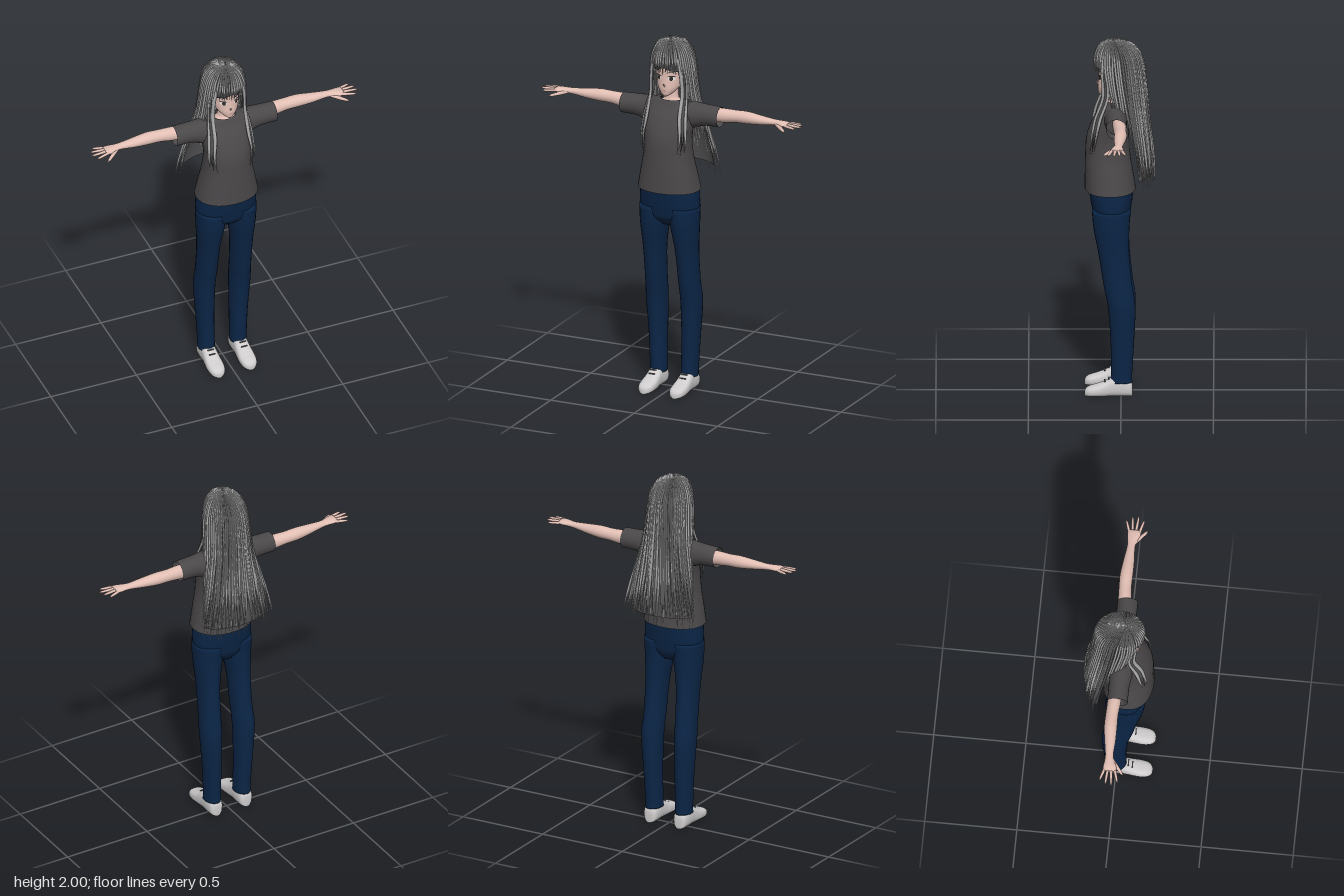
import * as THREE from 'three';

const V = (x, y, z) => new THREE.Vector3(x, y, z);
const RAD = Math.PI / 180;

// Smooth interpolation of a table of rows at fractional index s
function rowAt(T, s) {
  const n = T.length - 1, i = Math.min(Math.floor(s), n - 1), f = s - i;
  const r = k => T[Math.min(Math.max(k, 0), n)];
  const [a, b, c, d] = [r(i - 1), r(i), r(i + 1), r(i + 2)];
  return b.map((_, k) => b[k] + 0.5 * f * (c[k] - a[k] + f * (2 * a[k] - 5 * b[k] + 4 * c[k] - d[k]
    + f * (3 * (b[k] - c[k]) + d[k] - a[k]))));
}
const refine = (T, sub) => Array.from({ length: (T.length - 1) * sub + 1 }, (_, i) => rowAt(T, i / sub));

// Skin over rings { c, u, v }: centre and two half axes; e is the superellipse exponent
function loft(rings, { n = 24, e = 2, start = true, end = true } = {}) {
  const pos = [], idx = [], m = rings.length;
  const axis = rings[m - 1].c.clone().sub(rings[0].c);
  const mid = rings[m >> 1];
  const flip = mid.u.clone().cross(mid.v).dot(axis) < 0 ? -1 : 1;
  const pw = t => Math.sign(t) * Math.abs(t) ** (2 / e);
  for (const { c, u, v } of rings) for (let j = 0; j < n; j++) {
    const a = j / n * Math.PI * 2;
    const p = c.clone().addScaledVector(u, pw(Math.cos(a))).addScaledVector(v, flip * pw(Math.sin(a)));
    pos.push(p.x, p.y, p.z);
  }
  for (let i = 0; i < m - 1; i++) for (let j = 0; j < n; j++) {
    const k = (j + 1) % n, a = i * n + j, b = i * n + k;
    idx.push(a, b, a + n, b, b + n, a + n);
  }
  const c0 = rings[0].c, c1 = rings[m - 1].c, o = m * n, l = o - n;
  pos.push(c0.x, c0.y, c0.z, c1.x, c1.y, c1.z);
  for (let j = 0; j < n; j++) {
    const k = (j + 1) % n;
    if (start) idx.push(o, k, j);
    if (end) idx.push(o + 1, l + j, l + k);
  }
  const g = new THREE.BufferGeometry();
  g.setAttribute('position', new THREE.Float32BufferAttribute(pos, 3));
  g.setIndex(idx);
  g.computeVertexNormals();
  return g;
}

// Upright form from rows [y, centreX, halfWidth, zFront, zBack]
const upright = (T, opt) => loft(refine(T, 4).map(([y, x, w, f, b]) =>
  ({ c: V(x, y, (f + b) / 2), u: V(w, 0, 0), v: V(0, 0, (f - b) / 2) })), opt);

// Hair outline [y, halfWidth, zFront, zBack] from crown to tips
const HAIR = [[2, .004, .05, .04], [1.992, .045, .09, -.02], [1.965, .08, .122, -.07], [1.92, .103, .14, -.106],
  [1.86, .114, .143, -.122], [1.78, .12, .133, -.13], [1.67, .128, .11, -.14], [1.55, .15, .075, -.15],
  [1.42, .178, .045, -.165], [1.3, .202, .025, -.175], [1.18, .215, .015, -.178]];
function hairPoint(a, s, k = 1) {
  const [y, w, f, b] = rowAt(HAIR, s);
  return V(w * k * Math.sin(a), y, (f + b) / 2 + (f - b) / 2 * k * Math.cos(a));
}

const HEAD = [[1.692, 0, .012, .117, .085], [1.705, 0, .032, .123, .05], [1.735, 0, .058, .126, .005],
  [1.77, 0, .075, .124, -.06], [1.81, 0, .084, .121, -.09], [1.86, 0, .088, .122, -.1],
  [1.91, 0, .082, .11, -.085], [1.95, 0, .055, .08, -.05], [1.965, 0, .02, .045, -.01]];
const HEAD_FINE = refine(HEAD, 8);
function faceZ(x, y) {
  const r = HEAD_FINE.reduce((p, q) => Math.abs(q[0] - y) < Math.abs(p[0] - y) ? q : p);
  return (r[3] + r[4]) / 2 + (r[3] - r[4]) / 2 * Math.sqrt(Math.max(0, 1 - (x / r[2]) ** 2));
}

export function createModel() {
  const model = new THREE.Group();
  model.name = 'standingGirl';
  const mat = (name, color, side = THREE.FrontSide) => {
    const m = new THREE.MeshStandardMaterial({ color, side });
    m.name = name;
    return m;
  };
  const skin = mat('skin', 0xe2bfb4), shirt = mat('charcoalShirt', 0x4b484a, THREE.DoubleSide);
  const denim = mat('navyDenim', 0x0b2546), shoe = mat('paleShoe', 0xcfcdcd);
  const hair = mat('greyHair', 0xa6a6a6), hairDark = mat('darkHair', 0x505052, THREE.DoubleSide);
  const white = mat('eyeWhite', 0xf0ecea), dark = mat('eyeDark', 0x2e2a2c), lip = mat('lip', 0xb5766f);
  const add = (name, geo, m, parent = model) => {
    const mesh = new THREE.Mesh(geo, m);
    mesh.name = name;
    parent.add(mesh);
    return mesh;
  };
  let seed = 7;
  const rnd = () => (seed = (seed * 16807) % 2147483647) / 2147483647;

  // Head, neck and nose
  add('head', upright(HEAD, { n: 32 }), skin);
  add('neck', upright([[1.6, 0, .08, .085, -.02], [1.645, 0, .058, .078, -.012], [1.67, 0, .036, .065, -.01],
    [1.75, 0, .034, .062, -.01]]), skin);
  const nose = add('nose', new THREE.ConeGeometry(.009, .03, 8), skin);
  nose.position.set(0, 1.758, .127);
  nose.rotation.x = .85;

  // Face details: thin discs laid on the face
  const facePatch = (name, x, y, rx, ry, lift, m) => {
    const g = new THREE.CircleGeometry(1, 20).scale(rx, ry, 1).translate(x, y, 0), p = g.attributes.position;
    for (let i = 0; i < p.count; i++) p.setZ(i, faceZ(p.getX(i), p.getY(i)) + lift);
    g.computeVertexNormals();
    add(name, g, m);
  };
  for (const s of [1, -1]) {
    facePatch('eyeWhite', s * .037, 1.796, .018, .012, .002, white);
    facePatch('iris', s * .036, 1.796, .009, .012, .0035, dark);
    facePatch('upperLash', s * .038, 1.809, .02, .003, .0045, dark);
    facePatch('eyebrow', s * .037, 1.832, .018, .002, .003, hairDark);
  }
  facePatch('mouth', 0, 1.726, .012, .002, .002, lip);

  // Shirt
  add('shirtBody', upright([[1.16, 0, .175, .197, -.08], [1.25, 0, .157, .196, -.066], [1.35, 0, .137, .194, -.05],
    [1.45, 0, .13, .188, -.042], [1.52, 0, .138, .165, -.042], [1.58, 0, .142, .135, -.04], [1.63, 0, .132, .1, -.033],
    [1.655, 0, .095, .088, -.024], [1.66, 0, .062, .082, -.018]], { n: 36, e: 2.2, start: false, end: false }), shirt);

  // Jeans hips
  add('jeansHips', upright([[.955, 0, .05, .1, -.02], [1, 0, .14, .145, -.045], [1.05, 0, .167, .158, -.055],
    [1.1, 0, .17, .167, -.062], [1.17, 0, .165, .177, -.07]], { n: 32, e: 2.2 }), denim);

  for (const s of [1, -1]) {
    const side = new THREE.Group();
    side.name = s > 0 ? 'leftLimbs' : 'rightLimbs';
    model.add(side);
    // Rows [x, y, z, radiusY, radiusZ] running out along the arm
    const along = (T, opt) => loft(refine(T, 4).map(([x, y, z, ry, rz]) =>
      ({ c: V(s * x, y, z), u: V(0, ry, 0), v: V(0, 0, rz) })), opt);
    add('sleeve', along([[.07, 1.575, .03, .078, .065], [.13, 1.58, .028, .074, .062], [.2, 1.588, .025, .06, .056],
      [.292, 1.588, .025, .056, .056]], { start: false, end: false }), shirt, side);
    add('arm', along([[.2, 1.59, .01, .04, .038], [.3, 1.594, .007, .039, .036], [.37, 1.598, .003, .034, .034],
      [.44, 1.6, .003, .034, .035], [.52, 1.6, .008, .026, .03], [.6, 1.602, .012, .017, .022],
      [.64, 1.603, .017, .015, .028], [.67, 1.603, .021, .014, .036], [.695, 1.603, .022, .01, .035]]), skin, side);

    // Fingers and thumb: [base xyz, tip xyz]
    [[.685, 1.603, .049, .757, 1.6, .07], [.688, 1.604, .03, .778, 1.603, .038], [.688, 1.604, .012, .772, 1.603, .005],
      [.683, 1.602, -.005, .75, 1.6, -.027], [.625, 1.598, .028, .705, 1.583, .094]].forEach((f, i) => {
      const a = V(s * f[0], f[1], f[2]), b = V(s * f[3], f[4], f[5]);
      const across = b.clone().sub(a).cross(V(0, 1, 0)).normalize();
      const r = i === 4 ? .011 : .0085;
      add(i === 4 ? 'thumb' : 'finger', loft([[0, 1], [.5, .95], [.85, .75], [1, .25]].map(([t, k]) =>
        ({ c: a.clone().lerp(b, t), u: V(0, r * k, 0), v: across.clone().multiplyScalar(r * k) })), { n: 8 }), skin, side);
    });

    // Trouser leg
    add('jeansLeg', upright([[.08, .093, .046, .06, -.062], [.12, .093, .046, .055, -.06], [.3, .098, .05, .056, -.07],
      [.5, .103, .058, .07, -.078], [.62, .099, .057, .092, -.062], [.8, .096, .061, .12, -.045],
      [.95, .09, .077, .148, -.045], [1.06, .086, .084, .158, -.054]].map(([y, x, ...r]) => [y, s * x, ...r])), denim, side);

    // Shoe: rows [z, halfWidth, height]
    add('shoe', loft(refine([[-.062, .02, .06], [-.05, .037, .09], [-.01, .042, .105], [.04, .041, .108], [.08, .044, .085],
      [.13, .047, .064], [.17, .041, .052], [.19, .027, .04], [.198, .01, .025]], 3).map(([z, w, h]) =>
      ({ c: V(s * .093, h / 2, z), u: V(w, 0, 0), v: V(0, h / 2, 0) })), { e: 2.7 }), shoe, side);
    for (const [y, z] of [[.1, .066], [.085, .088]]) {
      const lace = add('shoeLace', new THREE.BoxGeometry(.036, .005, .006), hairDark, side);
      lace.position.set(s * .093, y, z);
    }
  }

  // Dark under-layer of hair, open around the face
  const shell = new THREE.PlaneGeometry(1, 1, 48, 40), sp = shell.attributes.position;
  for (let i = 0; i < sp.count; i++) {
    const s = (.5 - sp.getY(i)) * 9.3;
    const gap = RAD * (62 * THREE.MathUtils.smoothstep(s, 4, 4.5) + 38 * THREE.MathUtils.smoothstep(s, 5, 7));
    const p = hairPoint(gap + (sp.getX(i) + .5) * (Math.PI * 2 - 2 * gap), s, .955);
    sp.setXYZ(i, p.x, p.y - .003, p.z);
  }
  shell.computeVertexNormals();
  add('hairUnderLayer', shell, hairDark);

  // Locks of hair following the outline from crown to tip
  const locks = new THREE.Group();
  locks.name = 'hairLocks';
  model.add(locks);
  function lock(name, a, half, sEnd, flare = 0, thick = .01, s0 = 0) {
    const rings = [], N = 26, phase = rnd() * 6;
    for (let i = 0; i <= N; i++) {
      const t = i / N, s = s0 + (sEnd - s0) * t, k = 1 + flare * t * t;
      const aa = a + .025 * Math.sin(phase + s * .9) * t;
      const taper = Math.max(.04, Math.min(1, (1 - t) * 4.5));
      const u = hairPoint(aa + half, s, k).sub(hairPoint(aa - half, s, k)).multiplyScalar(.5 * taper);
      const tan = hairPoint(aa, Math.min(s + .1, 10), k).sub(hairPoint(aa, Math.max(s - .1, 0), k));
      const v = u.clone().cross(tan).normalize().multiplyScalar(thick * taper * Math.min(1, .2 + s / 2));
      rings.push({ c: hairPoint(aa, s, k), u, v });
    }
    add(name, loft(rings, { n: 8 }), hair, locks);
  }
  for (let i = 0; i < 30; i++)
    lock('backLock', RAD * (98 + 164 * (i + .5) / 30), RAD * 2.5, 9.2 + rnd() * .8, (rnd() - .35) * .09);
  for (let i = 0; i < 16; i++)
    lock('outerLock', RAD * (100 + 160 * (i + rnd()) / 16), RAD * 1.6, 8.8 + rnd() * 1.1, .04 + rnd() * .1, .008, 3);
  for (let i = 0; i < 13; i++)
    lock('fringeLock', RAD * (-45 + 90 * (i + .5) / 13), RAD * 3.2, 4.3 + rnd() * .25, 0, .007);
  for (const s of [1, -1]) {
    for (let i = 0; i < 8; i++)
      lock('sideLock', s * RAD * (50 + 6.2 * i), RAD * 3, 5.9 + i * .38 + rnd() * .3, .02);

    // Long locks falling in front of the shoulders
    for (let j = 0; j < 3; j++) {
      const d = j * .012, curve = new THREE.CatmullRomCurve3([V(.072, 1.92, .11), V(.09 + d / 2, 1.8, .1 - d),
        V(.094 + d / 2, 1.7, .098 - d), V(.097 + d, 1.58, .138 - d), V(.108 + d, 1.46, .162 - d), V(.094 + d * 1.5, 1.375 + d, .17 - d)]);
      const rings = curve.getPoints(24).map((p, i) => {
        const w = .011 * Math.max(.05, Math.min(1, (24 - i) / 9, .3 + i / 5));
        return { c: V(s * p.x, p.y, p.z), u: V(s * w * .8, 0, -w * .6), v: V(s * w * .4, 0, w * .5) };
      });
      add('frontLock', loft(rings, { n: 8 }), j === 1 ? hairDark : hair, locks);
    }
  }
  return model;
}
